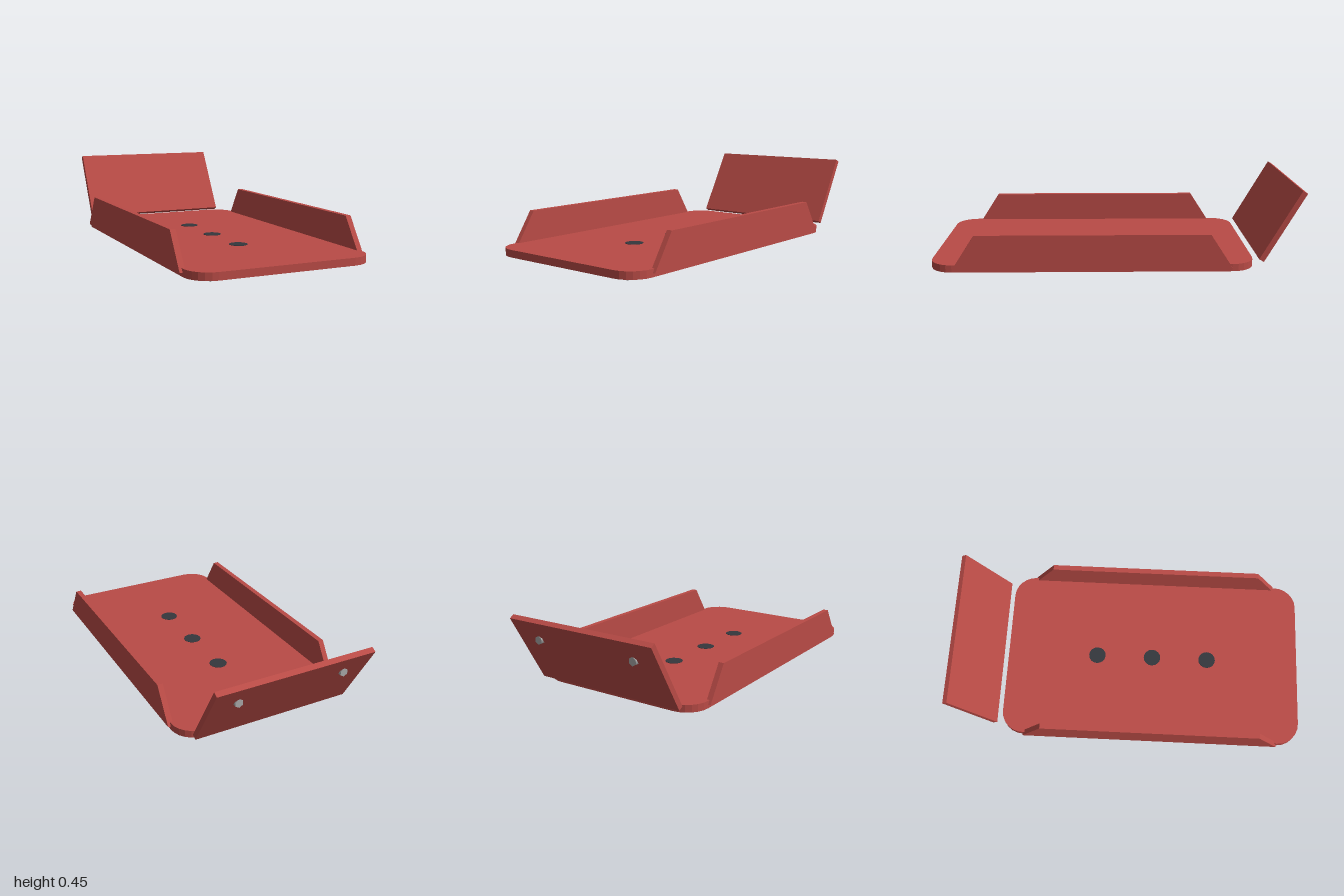
import * as THREE from 'three';

export function createModel() {
  const model = new THREE.Group();
  const red = new THREE.MeshStandardMaterial({ name: 'red panel', color: 0xb94b46 });
  const dark = new THREE.MeshStandardMaterial({ name: 'dark disc', color: 0x34373d });
  const steel = new THREE.MeshStandardMaterial({ name: 'steel bolt', color: 0xa9a9a9 });

  const add = (name, geometry, material, x, y, z) => {
    const mesh = new THREE.Mesh(geometry, material);
    mesh.name = name;
    mesh.position.set(x, y, z);
    model.add(mesh);
    return mesh;
  };

  // Base plate with rounded corners, drawn flat and laid down
  const w = 0.495, h = 0.8675, r = 0.125;
  const outline = new THREE.Shape();
  outline.absarc(w - r, h - r, r, 0, Math.PI / 2);
  outline.absarc(-w + r, h - r, r, Math.PI / 2, Math.PI);
  outline.absarc(-w + r, -h + r, r, Math.PI, Math.PI * 1.5);
  outline.absarc(w - r, -h + r, r, Math.PI * 1.5, Math.PI * 2);
  outline.closePath();
  const plate = new THREE.ExtrudeGeometry(outline, { depth: 0.04, bevelEnabled: false, curveSegments: 3 });
  plate.rotateX(-Math.PI / 2);
  add('basePlate', plate, red, 0, 0.025, 0.1325);

  // Side rails: trapezoids in the z-y plane, extruded along x
  const trapezoid = new THREE.Shape([
    new THREE.Vector2(-0.87, 0.045), new THREE.Vector2(0.61, 0.045),
    new THREE.Vector2(0.49, 0.23), new THREE.Vector2(-0.75, 0.23),
  ]);
  const rail = new THREE.ExtrudeGeometry(trapezoid, { depth: 0.03, bevelEnabled: false });
  rail.translate(0, 0, -0.015);
  rail.rotateY(Math.PI / 2);
  add('leftRail', rail, red, 0.495, 0, 0);
  add('rightRail', rail, red, -0.495, 0, 0);

  // Back panel leaning away from the plate
  const back = add('backPanel', new THREE.BoxGeometry(0.89, 0.43, 0.03), red, 0, 0.2535, -0.88);
  back.rotation.x = -Math.PI / 6;

  // Discs set through the middle of the plate
  const disc = new THREE.CylinderGeometry(0.05, 0.05, 0.044, 16);
  for (const z of [-0.2, 0.13, 0.46]) add('disc', disc, dark, 0, 0.045, z);

  // Hexagonal bolts under the plate and behind the back panel
  const bolt = new THREE.CylinderGeometry(0.023, 0.023, 0.02, 6);
  bolt.rotateX(Math.PI / 2);
  for (const x of [-1, 1]) {
    for (const z of [0.905, -0.62]) add('plateBolt', bolt, steel, x * 0.375, 0.023, z);
    add('backBolt', bolt, steel, x * 0.3, 0.328, -0.944);
  }
  return model;
}
